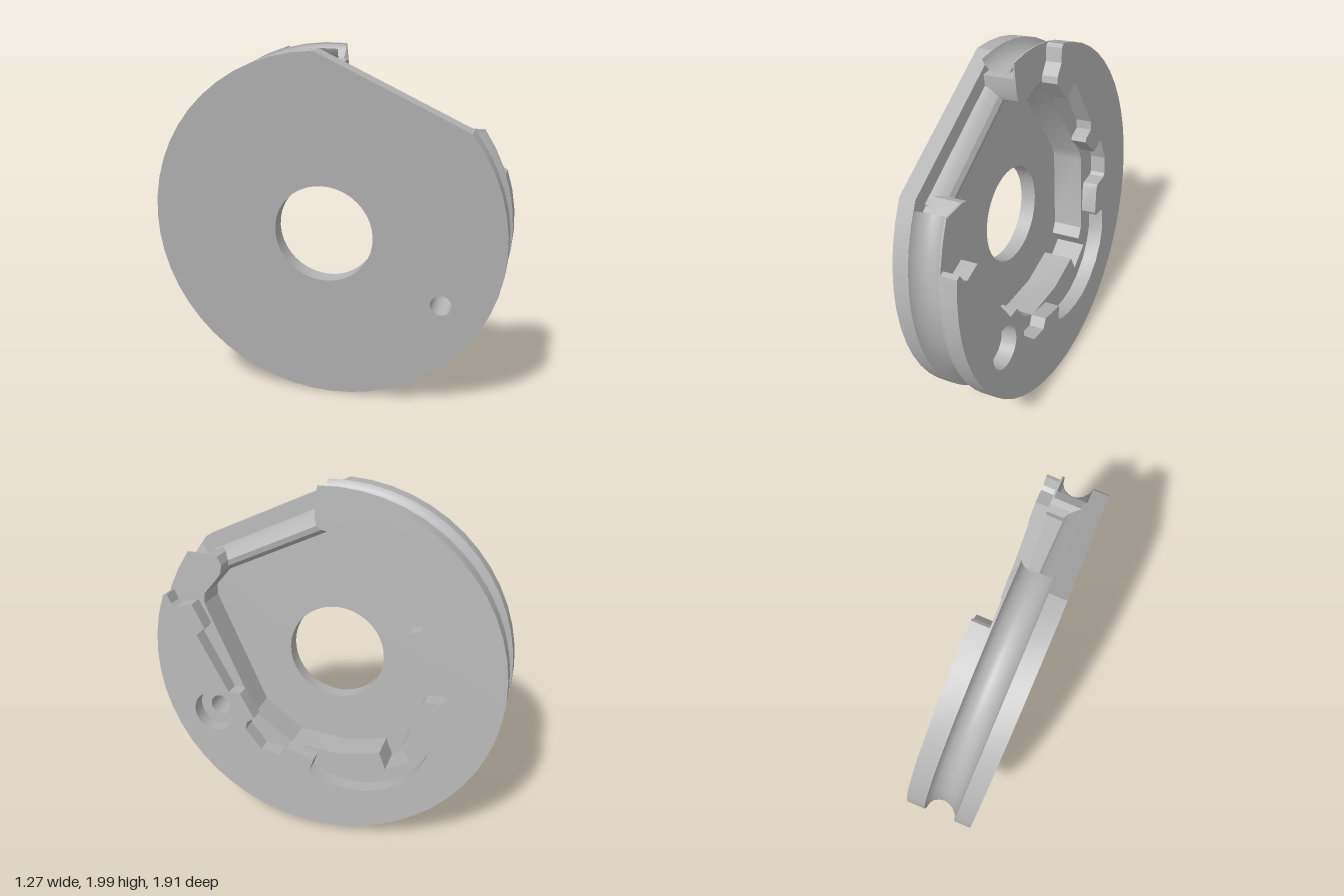
import * as THREE from 'three';
import { toCreasedNormals } from 'three/addons/utils/BufferGeometryUtils.js';

const R = 0.985;          // flange radius
const CORE = 0.905;       // groove bottom radius
const DEG = Math.PI / 180;
const BORE = [-0.645, -0.36];

const arc = (r, from, to, n) => Array.from({ length: n + 1 }, (_, i) => {
  const t = (from + (to - from) * i / n) * DEG;
  return new THREE.Vector2(r * Math.cos(t), r * Math.sin(t));
});
const pts = list => list.map(([x, y]) => new THREE.Vector2(x, y));

function circleHole(x, y, r) {
  const p = new THREE.Path();
  p.absarc(x, y, r, 0, Math.PI * 2, true);
  return p;
}

// Extrude an outline between two levels on the wheel axis
function slab(outline, z0, z1, holes = []) {
  const shape = new THREE.Shape(outline);
  shape.holes.push(...holes);
  const geo = new THREE.ExtrudeGeometry(shape, { depth: z1 - z0, bevelEnabled: false, curveSegments: 20 });
  geo.translate(0, 0, z0);
  return toCreasedNormals(geo, 0.4);
}

// Pocket edge of the core, from the upper horn round to the lower horn
const pocket = pts([
  [-0.092, 0.90], [-0.095, 0.81], [-0.085, 0.775], [-0.055, 0.755], [0.0, 0.748],
  [0.10, 0.775], [0.16, 0.772], [0.20, 0.74], [0.535, 0.14], [0.55, 0.08],
  [0.482, -0.374], [0.44, -0.43], [0.50, -0.52], [0.36, -0.60], [0.32, -0.50],
  [0.09, -0.55], [-0.2, -0.53], [-0.424, -0.367], [-0.725, 0.26], [-0.725, 0.32],
  [-0.66, 0.40], [-0.628, 0.445], [-0.62, 0.495], [-0.645, 0.54], [-0.68, 0.55],
]);

// Stepped and notched edge of the front flange
const notches = pts([
  [0.267, 0.945], [0.245, 0.93], [0.227, 0.856], [0.175, 0.80], [0.165, 0.765],
  [0.255, 0.64], [0.285, 0.635], [0.345, 0.68], [0.375, 0.675],
  [0.527, 0.363], [0.524, 0.312], [0.455, 0.29], [0.445, 0.27],
  [0.549, 0.151], [0.63, 0.178], [0.652, 0.165], [0.69, 0.03], [0.675, -0.07],
  [0.655, -0.085], [0.565, -0.09], [0.55, -0.11], [0.512, -0.262], [0.525, -0.285],
  [0.60, -0.29], [0.615, -0.31], [0.60, -0.43], [0.554, -0.524], [0.48, -0.61],
  [0.375, -0.675], [0.27, -0.71], [0.168, -0.715], [0.06, -0.70], [-0.023, -0.675],
  [-0.066, -0.645], [-0.04, -0.564], [-0.207, -0.524], [-0.244, -0.574],
  [-0.357, -0.554], [-0.452, -0.443], [-0.445, -0.395], [-0.402, -0.363],
  [-0.485, -0.222], [-0.553, -0.222], [-0.738, 0.10], [-0.69, 0.151],
  [-0.762, 0.282], [-0.86, 0.255], [-0.885, 0.27], [-0.91, 0.322],
]);

export function createModel() {
  const model = new THREE.Group();
  model.name = 'groovedWheel';
  const gray = new THREE.MeshStandardMaterial({ color: 0xb4b4b4, side: THREE.DoubleSide });
  gray.name = 'gray';

  const wheel = new THREE.Group();
  wheel.name = 'wheel';
  const add = (name, geo) => {
    const mesh = new THREE.Mesh(geo, gray);
    mesh.name = name;
    wheel.add(mesh);
  };
  const screwHole = () => circleHole(...BORE, 0.058);

  // Rear flange: disc with one straight side, centre hole and screw hole
  add('rearFlange', slab(arc(R, 143, 449, 46), -0.18, -0.09,
    [circleHole(0, 0, 0.275), screwHole()]));

  // Core around the pocket, with a thin lip that carries the horns
  add('core', slab([...arc(CORE, 146, 455, 46), ...pocket], -0.09, 0.082, [screwHole()]));
  add('coreLip', slab([...arc(R, 146, 455, 46), ...pocket], 0.08, 0.09, [screwHole()]));

  // Curved rope groove around the rim
  const profile = pts([[R, -0.09], [0.955, -0.082], [0.925, -0.055], [0.91, -0.025],
    [CORE, 0], [0.91, 0.025], [0.925, 0.055], [0.955, 0.075], [R, 0.081]]);
  const groove = new THREE.LatheGeometry(profile, 46, (146 + 90) * DEG, 309 * DEG);
  groove.rotateX(Math.PI / 2);
  add('ropeGroove', groove);

  // Front flange with notched opening and counterbore
  add('frontFlange', slab([...arc(R, 161.5, 434.4, 40), ...notches], 0.09, 0.18,
    [circleHole(...BORE, 0.12)]));

  // Rounded ridge closing the pocket along the straight side
  const m = new THREE.Vector3(-0.44, 0.898, 0).normalize();
  const n = new THREE.Vector3(0, 0, 1);
  const t = new THREE.Vector3().crossVectors(m, n);
  const ridgeProfile = pts([[0.665, -0.1], [0.80, -0.1], [0.795, -0.08], [0.775, -0.045],
    [0.75, -0.02], [0.72, -0.008], [0.69, -0.015], [0.672, -0.035], [0.665, -0.06]]);
  const ridge = slab(ridgeProfile, -0.42, 0.33);
  ridge.applyMatrix4(new THREE.Matrix4().makeBasis(m, n, t));
  add('pocketRidge', ridge);

  // Lean the wheel axis into its final direction
  const axis = new THREE.Vector3(0.874, 0.11, -0.472).normalize();
  const side = new THREE.Vector3(0, 1, 0).cross(axis).normalize();
  const up = new THREE.Vector3().crossVectors(axis, side);
  wheel.quaternion.setFromRotationMatrix(new THREE.Matrix4().makeBasis(side, up, axis));
  wheel.position.y = 1;
  model.add(wheel);
  return model;
}
